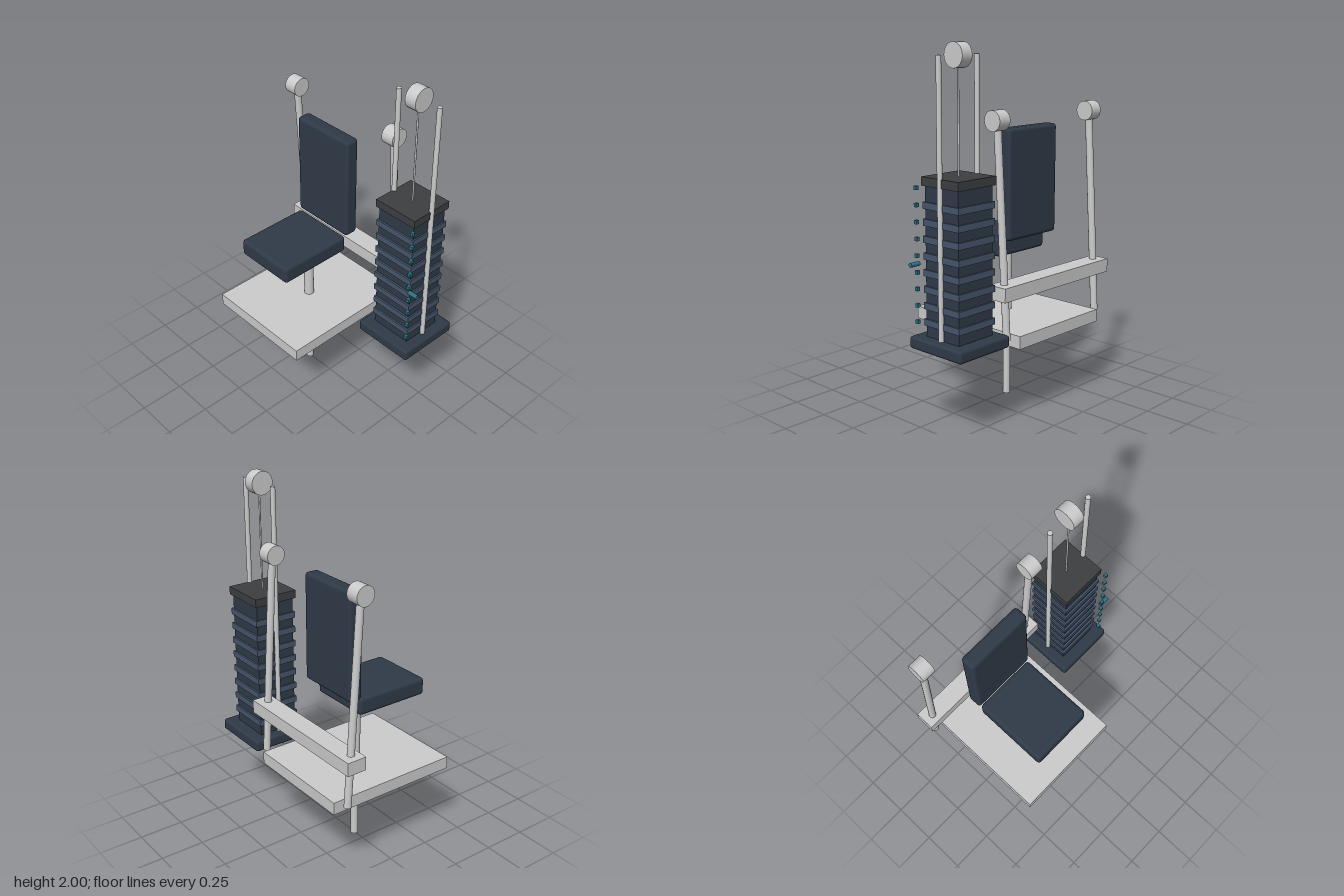
import * as THREE from 'three';
import { RoundedBoxGeometry } from 'three/addons/geometries/RoundedBoxGeometry.js';

const material = (color) => new THREE.MeshStandardMaterial({ color });

export function createModel() {
  const model = new THREE.Group();
  const steel = material(0xcccccc);
  const vinyl = material(0x2f3a48);
  const plateBlue = material(0x46566c);
  const charcoal = material(0x3c3e41);
  const teal = material(0x2b7284);

  const add = (name, geometry, mat, x, y, z, parent = model) => {
    const mesh = new THREE.Mesh(geometry, mat);
    mesh.name = name;
    mesh.position.set(x, y, z);
    parent.add(mesh);
    return mesh;
  };
  const box = (w, h, d) => new THREE.BoxGeometry(w, h, d);
  const pad = (w, h, d, r = 0.02) => new RoundedBoxGeometry(w, h, d, 3, r);
  const cylinderX = (r, length) => new THREE.CylinderGeometry(r, r, length, 28).rotateZ(Math.PI / 2);

  // Round bar between two points
  const bar = (name, from, to, r, mat = steel, parent = model) => {
    const a = new THREE.Vector3(...from), b = new THREE.Vector3(...to);
    const direction = b.clone().sub(a);
    const middle = a.clone().add(b).multiplyScalar(0.5);
    const mesh = add(name, new THREE.CylinderGeometry(r, r, direction.length(), 20), mat, ...middle, parent);
    mesh.quaternion.setFromUnitVectors(new THREE.Vector3(0, 1, 0), direction.normalize());
    return mesh;
  };

  // Platform, pedestal and seat
  const seatX = -0.175;
  add('platform', box(0.65, 0.07, 0.775), steel, seatX, 0.47, 0);
  bar('lowerPost', [seatX, 0, 0], [seatX, 0.44, 0], 0.021);
  add('postCrossPin', cylinderX(0.02, 0.127), steel, seatX, 0.435, 0);
  bar('seatPost', [seatX, 0.5, 0], [seatX, 0.87, 0], 0.028);
  add('seat', pad(0.368, 0.1, 0.437), vinyl, seatX, 0.9, 0.1065);
  add('backrest', pad(0.386, 0.6, 0.083), vinyl, seatX, 1.25, -0.148);

  // Rear beam with two leaning arms and their rollers
  add('rearBeam', box(0.858, 0.075, 0.112), steel, -0.174, 0.742, -0.322);
  for (const x of [-0.545, 0.195]) {
    bar('arm', [x, 0.486, -0.335], [x, 1.61, -0.265], 0.02);
    add('armRoller', cylinderX(0.053, 0.077), steel, x, 1.612, -0.265);
  }

  // Weight stack
  const stack = new THREE.Group();
  stack.name = 'weightStack';
  stack.position.set(0.402, 0, -0.2);
  model.add(stack);
  add('stackBase', pad(0.36, 0.065, 0.367, 0.015), vinyl, 0, 0.497, 0, stack);
  add('stackCore', box(0.24, 0.79, 0.23), vinyl, 0, 0.915, 0, stack);
  add('stackCap', box(0.266, 0.045, 0.257), charcoal, 0, 1.328, 0, stack);
  for (let i = 0; i < 9; i++) {
    const y = 0.605 + i * 0.086;
    if (i < 8) add('weightPlateEdge', box(0.256, 0.035, 0.25), plateBlue, 0, y, 0, stack);
    add('pinMarker', box(0.018, 0.02, 0.018), teal, 0.145, y, 0.152, stack);
  }
  add('selectorPin', cylinderX(0.012, 0.058), teal, 0.17, 0.91, 0.145, stack);

  // Guide rods, cable and top pulley
  for (const x of [-0.13, 0.13]) {
    bar('guideRod', [x, 0.5, 0], [x, 1.94, 0], 0.0135, steel, stack);
  }
  bar('cable', [0, 1.34, 0], [0, 1.93, 0], 0.005, steel, stack);
  add('topPulley', cylinderX(0.063, 0.068), steel, 0, 1.937, 0, stack);

  return model;
}
